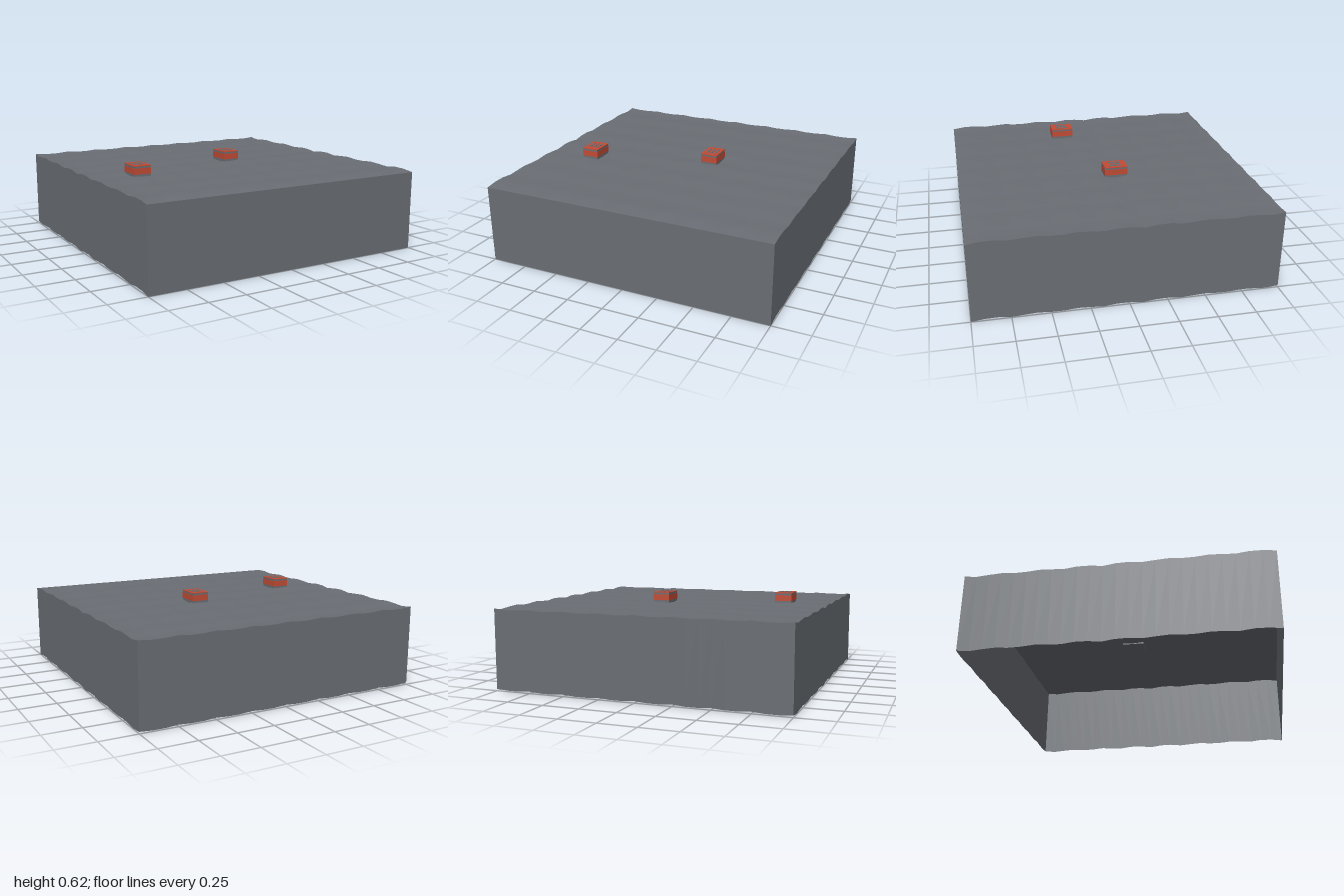
import * as THREE from 'three';

const SEGMENTS = 24;
const SLAB_HEIGHT = 0.535;

// Gentle ripple shared by the top and the wall edges; it vanishes along z = 1.
function ripple(x, z) {
  const i = (x + 1) * SEGMENTS / 2;
  const j = (1 - z) * SEGMENTS / 2;
  return 0.014 * Math.abs(Math.cos(i * Math.PI / 3) * Math.sin(j * 0.965));
}

function addRipple(geometry) {
  const p = geometry.attributes.position;
  for (let n = 0; n < p.count; n++) {
    p.setY(n, p.getY(n) + ripple(p.getX(n), p.getZ(n)));
  }
  geometry.computeVertexNormals();
  return geometry;
}

export function createModel() {
  const group = new THREE.Group();
  const grey = new THREE.MeshStandardMaterial({ color: 0x6a6e74, side: THREE.DoubleSide });
  grey.name = 'slate grey';
  const red = new THREE.MeshStandardMaterial({ color: 0xc24b35 });
  red.name = 'brick red';

  function add(parent, name, geometry, material) {
    const mesh = new THREE.Mesh(geometry, material);
    mesh.name = name;
    parent.add(mesh);
    return mesh;
  }

  // Rippled top surface
  const top = new THREE.PlaneGeometry(2, 2, SEGMENTS, SEGMENTS);
  top.rotateX(-Math.PI / 2).translate(0, SLAB_HEIGHT, 0);
  add(group, 'slabTop', addRipple(top), grey);

  // Four walls, open underneath
  ['frontWall', 'leftWall', 'backWall', 'rightWall'].forEach((name, k) => {
    const wall = new THREE.PlaneGeometry(2, SLAB_HEIGHT, SEGMENTS, 1);
    wall.translate(0, SLAB_HEIGHT / 2, 1).rotateY(k * Math.PI / 2);
    add(group, name, addRipple(wall), grey);
  });

  // Two small vented boxes made of stacked layers
  const layers = [
    ['plinth', 0.53, 0.555, 0.118, grey],
    ['body', 0.555, 0.596, 0.12, red],
    ['rim', 0.596, 0.608, 0.118, grey],
    ['lid', 0.608, 0.613, 0.12, red],
  ];
  for (const [x, z] of [[-0.668, 0.163], [0.166, -0.082]]) {
    const box = new THREE.Group();
    box.name = 'ventBox';
    box.position.set(x, 0, z);
    for (const [name, y0, y1, width, material] of layers) {
      const geometry = new THREE.BoxGeometry(width, y1 - y0, width + 0.04);
      add(box, name, geometry.translate(0, (y0 + y1) / 2, 0), material);
    }
    // Grey slats on the lid
    for (const sx of [-0.03, 0, 0.03]) {
      add(box, 'slat', new THREE.BoxGeometry(0.014, 0.004, 0.08), grey).position.set(sx, 0.614, 0);
    }
    group.add(box);
  }
  return group;
}
